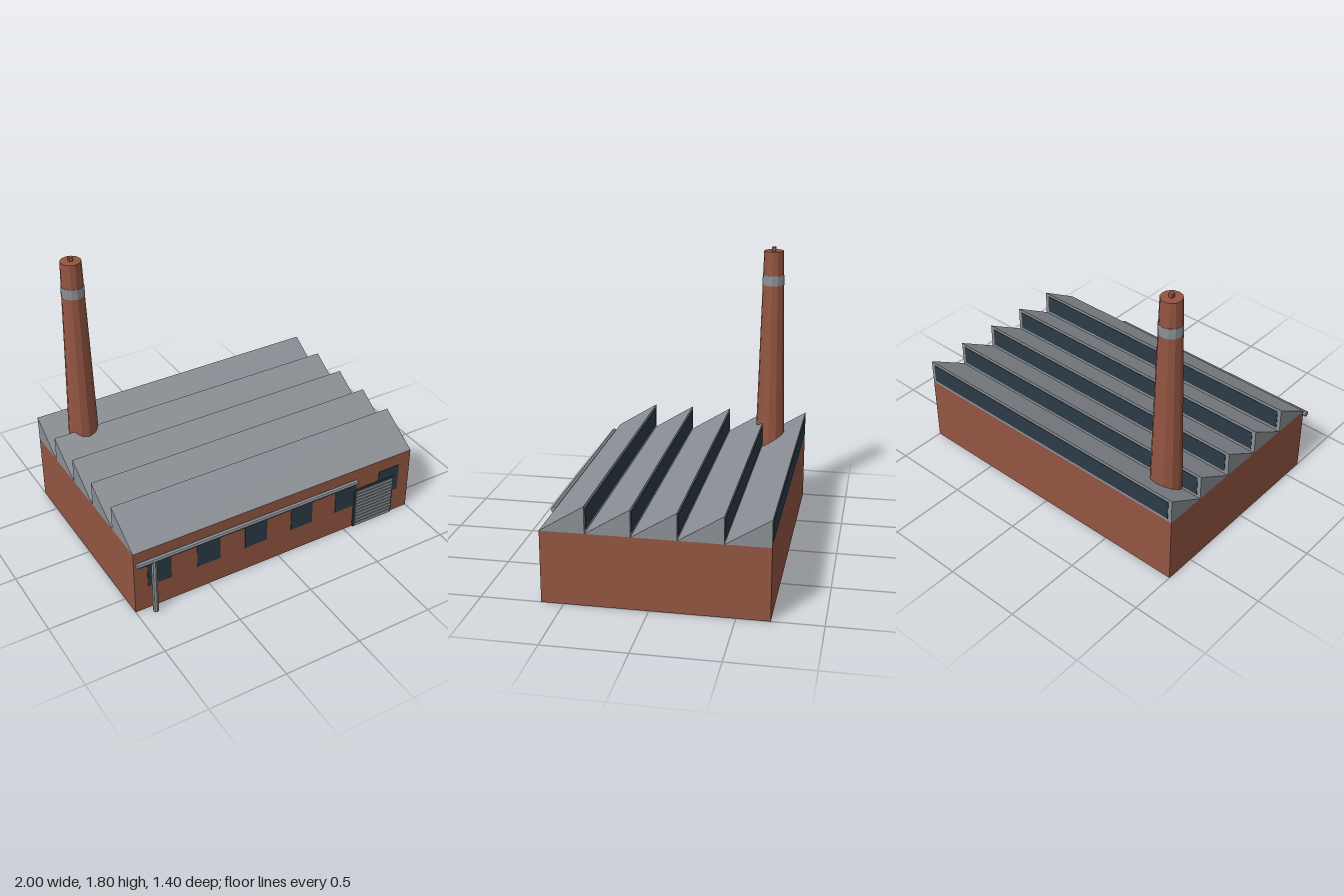
import * as THREE from 'three';

const mat = (name, color, extra = {}) => {
  const m = new THREE.MeshStandardMaterial({ color, ...extra });
  m.name = name;
  return m;
};

export function createModel() {
  const brick = mat('brick', 0x935541, { flatShading: true });
  const brickWall = mat('brick wall', 0x935541, { side: THREE.DoubleSide });
  const metal = mat('grey metal', 0x8b8f95, { flatShading: true });
  const glass = mat('dark glass', 0x2c3b47);

  const model = new THREE.Group();
  model.name = 'factory';

  const add = (parent, name, geometry, material, x = 0, y = 0, z = 0) => {
    const mesh = new THREE.Mesh(geometry, material);
    mesh.name = name;
    mesh.position.set(x, y, z);
    parent.add(mesh);
    return mesh;
  };
  const group = (name) => {
    const g = new THREE.Group();
    g.name = name;
    model.add(g);
    return g;
  };

  const front = 0.635, back = -0.697, depth = front - back;
  const wallTop = 0.445, ridge = 0.61, midZ = (front + back) / 2;

  // Four walls, open underneath
  const walls = group('walls');
  for (const s of [1, -1]) {
    add(walls, s > 0 ? 'frontWall' : 'backWall', new THREE.PlaneGeometry(2, wallTop), brickWall,
      0, wallTop / 2, s > 0 ? front : back).rotation.y = s > 0 ? 0 : Math.PI;
    add(walls, s > 0 ? 'leftWall' : 'rightWall', new THREE.PlaneGeometry(depth, wallTop), brickWall,
      s, wallTop / 2, midZ).rotation.y = s * Math.PI / 2;
  }

  // Sawtooth roof: each bay rises to a glazed vertical face at its back
  const roof = group('roof');
  const bays = 5, bay = depth / bays, rise = ridge - wallTop;
  const tooth = new THREE.Shape([
    new THREE.Vector2(0, 0), new THREE.Vector2(bay, 0), new THREE.Vector2(bay, rise),
  ]);
  const toothGeo = new THREE.ExtrudeGeometry(tooth, { depth: 2, bevelEnabled: false });
  toothGeo.translate(0, 0, -1).rotateY(Math.PI / 2);
  for (let i = 0; i < bays; i++) {
    const z = front - i * bay;
    add(roof, 'roofBay', toothGeo, metal, 0, wallTop, z);
    add(roof, 'roofGlazing', new THREE.BoxGeometry(1.95, rise - 0.04, 0.006), glass,
      0, wallTop + rise / 2, z - bay);
  }

  // Front windows
  const windows = group('windows');
  for (let i = 0; i < 6; i++) {
    add(windows, 'window', new THREE.BoxGeometry(0.157, 0.19, 0.006), glass,
      -0.833 + i / 3, 0.265, front + 0.001);
  }

  // Roller door with slats over a dark surround
  const door = group('rollerDoor');
  add(door, 'doorSurround', new THREE.BoxGeometry(0.305, 0.292, 0.009), glass, 0.718, 0.146, front + 0.0045);
  for (let i = 0; i < 11; i++) {
    add(door, 'doorSlat', new THREE.BoxGeometry(0.28, 0.019, 0.006), metal, 0.72, 0.017 + i * 0.0253, front + 0.01);
  }

  // Tapered chimney with a grey band and a small cap
  const chimney = group('chimney');
  chimney.position.set(-0.78, 0, -0.475);
  const radius = (y) => 0.099 - (y - wallTop) * 0.0255;
  const ring = (name, y0, y1, material, swell = 0) =>
    add(chimney, name, new THREE.CylinderGeometry(radius(y1) + swell, radius(y0) + swell, y1 - y0, 12),
      material, 0, (y0 + y1) / 2, 0);
  ring('chimneyStack', wallTop + 0.002, 1.78, brick);
  ring('chimneyBand', 1.555, 1.62, metal, 0.002);
  add(chimney, 'chimneyTip', new THREE.BoxGeometry(0.025, 0.026, 0.025), brick, 0, 1.792, 0);

  // Pipe along the front and its downpipe
  const pipes = group('pipes');
  add(pipes, 'frontPipe', new THREE.CylinderGeometry(0.018, 0.018, 1.55, 8), metal,
    -0.225, 0.392, 0.68).rotation.z = Math.PI / 2;
  add(pipes, 'downPipe', new THREE.CylinderGeometry(0.018, 0.018, 0.39, 8), metal, -0.888, 0.195, 0.68);

  return model;
}
